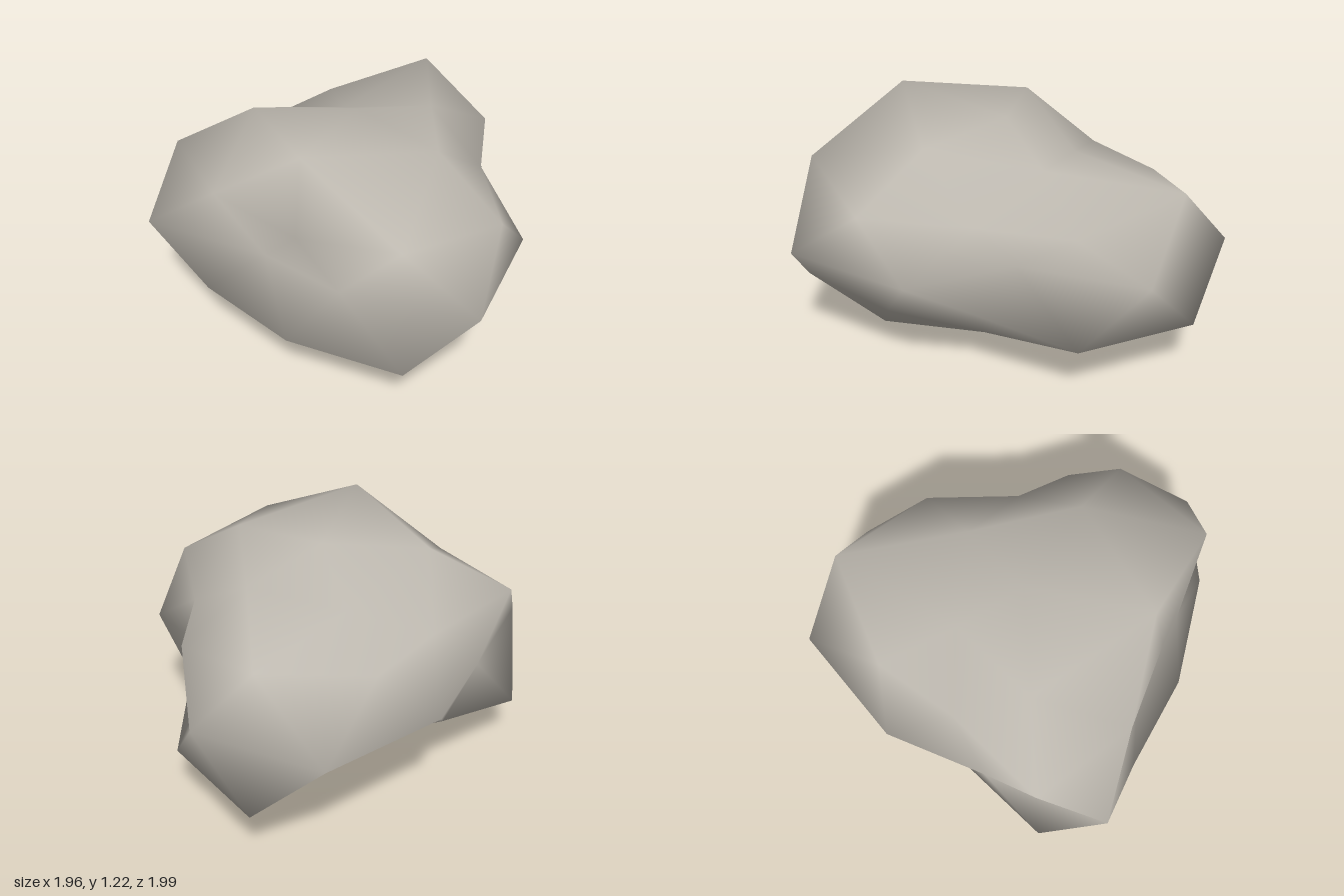
import * as THREE from 'three';

// A smooth-shaded boulder: a once-subdivided icosahedron, flattened in y,
// with one radius for each point.
const SQUASH = 0.6;
const CENTRE = new THREE.Vector3(0.037, 0.62, -0.11);

// Rings from top to bottom: height on the unit sphere, first angle (degrees), radii
const RINGS = [
  { y: 1, start: 0, radii: [0.878] },
  { y: 0.851, start: 0, radii: [0.822, 0.97, 1.175, 0.98, 0.66] },
  { y: 0.447, start: 0, radii: [0.88, 1.0, 0.77, 1.035, 0.84] },
  { y: 0.526, start: 36, radii: [0.73, 1.12, 0.92, 0.74, 1.115] },
  { y: 0, start: 18, radii: [0.54, 0.89, 1.105, 0.77, 0.66, 1.07, 0.785, 0.88, 1.1, 0.99] },
  { y: -0.526, start: 0, radii: [1.0, 0.88, 0.975, 1.165, 0.67] },
  { y: -0.447, start: 36, radii: [0.74, 1.135, 0.96, 0.79, 1.17] },
  { y: -0.851, start: 36, radii: [0.85, 1.21, 1.04, 0.78, 0.85] },
  { y: -1, start: 0, radii: [0.975] },
];

function boulderGeometry() {
  const positions = [];
  const index = [];

  // Place the points and remember their numbers ring by ring
  const [top, upperMid, upper, upperEdge, belt, lowerEdge, lower, lowerMid, bottom] = RINGS.map(
    ({ y, start, radii }) => radii.map((r, i) => {
      const angle = THREE.MathUtils.degToRad(start + (i * 360) / radii.length);
      const h = Math.sqrt(1 - y * y);
      positions.push(
        CENTRE.x + r * h * Math.cos(angle),
        CENTRE.y + r * y * SQUASH,
        CENTRE.z + r * h * Math.sin(angle),
      );
      return positions.length / 3 - 1;
    }),
  );

  // One icosahedron face split in four at its edge midpoints
  const face = (a, b, c, ab, bc, ca) =>
    index.push(a, ab, ca, ab, b, bc, ca, bc, c, ab, bc, ca);

  for (let k = 0; k < 5; k++) {
    const n = (k + 1) % 5;
    face(upper[n], upper[k], top[0], upperEdge[k], upperMid[k], upperMid[n]);
    face(upper[k], upper[n], lower[k], upperEdge[k], belt[2 * k + 1], belt[2 * k]);
    face(lower[k], upper[n], lower[n], belt[2 * k + 1], belt[2 * n], lowerEdge[n]);
    face(lower[k], lower[n], bottom[0], lowerEdge[n], lowerMid[n], lowerMid[k]);
  }

  const geometry = new THREE.BufferGeometry();
  geometry.setAttribute('position', new THREE.Float32BufferAttribute(positions, 3));
  geometry.setIndex(index);
  geometry.computeVertexNormals();
  return geometry;
}

export function createModel() {
  const stone = new THREE.MeshStandardMaterial({ color: 0xbeb9b0 });
  stone.name = 'stone';

  const boulder = new THREE.Mesh(boulderGeometry(), stone);
  boulder.name = 'boulder';

  const model = new THREE.Group();
  model.name = 'rock';
  model.add(boulder);
  return model;
}
